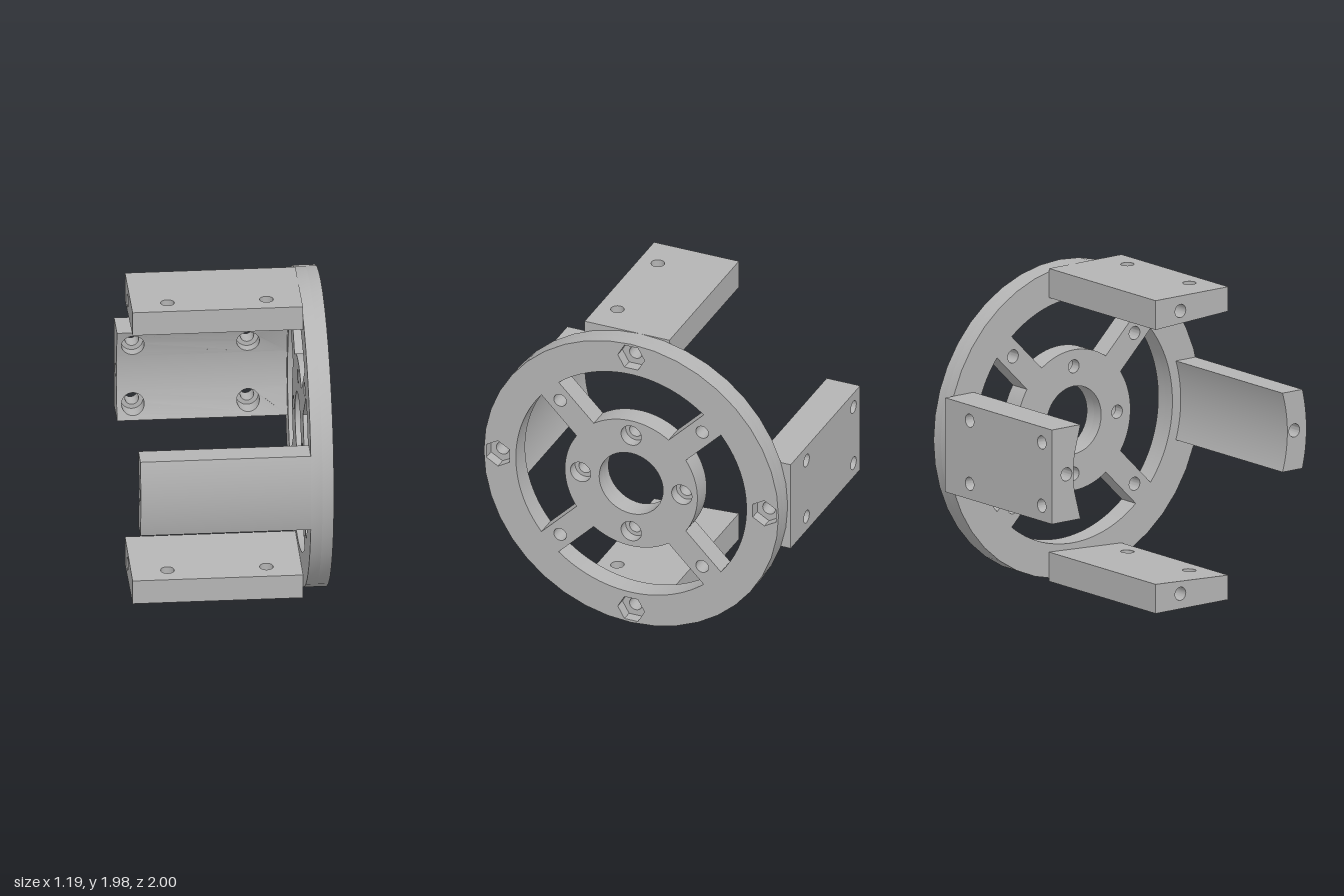
import * as THREE from 'three';
import { toCreasedNormals } from 'three/addons/utils/BufferGeometryUtils.js';

const X0 = -0.6, X1 = 0.45, X2 = 0.52, X3 = 0.59; // arm end, ring back, pocket floor, ring front
const R_OUT = 0.99, R_ARM = 0.84, R_BOLT = 0.895, R_HOLE = 0.042;

export function createModel() {
  const grey = new THREE.MeshStandardMaterial({ color: 0xb4b4b4 });
  grey.name = 'plain grey';
  const model = new THREE.Group();
  model.name = 'armedRingMount';
  const body = new THREE.Group();
  body.name = 'body';
  body.position.set(0, 0.995, 0.01); // ring axis
  model.add(body);

  const add = (name, geometry) => {
    const mesh = new THREE.Mesh(toCreasedNormals(geometry, 0.5), grey);
    mesh.name = name;
    body.add(mesh);
  };
  const extrude = (shape, depth) =>
    new THREE.ExtrudeGeometry(shape, { depth, bevelEnabled: false, curveSegments: 20 });
  const circle = (x, y, r) => new THREE.Path().absarc(x, y, r, 0, Math.PI * 2, false);
  const polygon = (pts) => new THREE.Shape(pts.map(([x, y]) => new THREE.Vector2(x, y)));

  // Cross-section in (-z, y), swept along x
  const alongX = (shape, from, to) =>
    extrude(shape, to - from).rotateY(Math.PI / 2).translate(from, 0, 0);
  // Moves every vertex by a rule
  const bend = (geometry, rule) => {
    const p = geometry.attributes.position;
    const v = new THREE.Vector3();
    for (let i = 0; i < p.count; i++) {
      rule(v.fromBufferAttribute(p, i));
      p.setXYZ(i, v.x, v.y, v.z);
    }
    return geometry;
  };

  // Spoked wheel in two layers: bolt holes behind, wider pockets in front
  const wheel = (pockets) => {
    const shape = new THREE.Shape().absarc(0, 0, R_OUT, 0, Math.PI * 2, false);
    shape.holes.push(circle(0, 0, 0.215));
    for (let k = 0; k < 4; k++) {
      const t = (k * Math.PI) / 2;
      const c = Math.cos(t), s = Math.sin(t);
      // window between spokes
      const a = Math.PI / 4 - Math.asin(0.082 / 0.775);
      const b = Math.PI / 4 - Math.asin(0.082 / 0.445);
      const win = new THREE.Path();
      win.absarc(0, 0, 0.775, t - a, t + a, false);
      win.absarc(0, 0, 0.445, t + b, t - b, true);
      win.closePath();
      shape.holes.push(win);
      // spoke hole and hub hole
      const d = t + Math.PI / 4;
      shape.holes.push(circle(0.675 * Math.cos(d), 0.675 * Math.sin(d), R_HOLE));
      shape.holes.push(circle(0.34 * c, 0.34 * s, pockets ? 0.068 : R_HOLE));
      // rim hole or hexagonal nut pocket
      if (pockets) {
        const hex = [];
        for (let i = 0; i < 6; i++) {
          const h = t + Math.PI / 2 + (i * Math.PI) / 3;
          hex.push(new THREE.Vector2(R_BOLT * c + 0.09 * Math.cos(h), R_BOLT * s + 0.09 * Math.sin(h)));
        }
        shape.holes.push(new THREE.Path(hex));
      } else {
        shape.holes.push(circle(R_BOLT * c, R_BOLT * s, R_HOLE));
      }
    }
    return shape;
  };
  add('wheelBack', alongX(wheel(false), X1, X2));
  add('wheelFront', alongX(wheel(true), X2, X3));

  // Front arm: curved inside and out
  const f0 = Math.asin(0.25 / R_OUT), f1 = Math.asin(0.25 / R_ARM);
  const front = new THREE.Shape();
  front.absarc(0, 0, R_OUT, Math.PI - f0, Math.PI + f0, false);
  front.absarc(0, 0, R_ARM, Math.PI + f1, Math.PI - f1, true);
  front.closePath();
  front.holes.push(circle(-R_BOLT, 0, R_HOLE));
  add('frontArm', alongX(front, X0, X1));

  // Top and bottom arms: flat outside, slightly sloped inside
  const zBack = -0.195, zSplit = 0.12, zFront = 0.375;
  const inner = (z) => 0.805 + (0.03 * (z - zBack)) / (zFront - zBack);
  for (const s of [1, -1]) {
    const name = s > 0 ? 'topArm' : 'bottomArm';
    const core = polygon([
      [-zBack, s * 0.99], [-zBack, s * inner(zBack)],
      [-zSplit, s * inner(zSplit)], [-zSplit, s * 0.99],
    ]);
    core.holes.push(circle(0, s * R_BOLT, R_HOLE));
    add(name + 'Core', alongX(core, X0, X1));

    const side = polygon([[X0, -zFront], [X1, -zFront], [X1, -zSplit], [X0, -zSplit]]);
    for (const x of [-0.375, 0.235]) side.holes.push(circle(x, -0.25, R_HOLE));
    const plate = extrude(side, 1).rotateX(-Math.PI / 2);
    add(name + 'DrilledSide', bend(plate, (v) => {
      const outside = (v.y > 0.5) === (s > 0);
      v.y = s * (outside ? 0.99 : inner(v.z));
    }));
  }

  // Back arm: flat outside, curved inside, counterbored holes above and below
  const zOut = -1.01, zFloor = -0.9, ySplit = 0.12, yEdge = 0.298;
  const m = Math.asin(ySplit / R_ARM);
  const middle = new THREE.Shape();
  middle.moveTo(-zOut, -ySplit);
  middle.lineTo(-zOut, ySplit);
  middle.absarc(0, 0, R_ARM, m, -m, true);
  middle.closePath();
  middle.holes.push(circle(R_BOLT, 0, R_HOLE));
  add('backArmCore', alongX(middle, X0, X1));
  for (const s of [1, -1]) {
    const strip = (r) => {
      const shape = polygon([[X0, s * ySplit], [X1, s * ySplit], [X1, s * yEdge], [X0, s * yEdge]]);
      for (const x of [-0.5, 0.21]) shape.holes.push(circle(x, s * 0.2, r));
      return shape;
    };
    const name = s > 0 ? 'backArmUpper' : 'backArmLower';
    add(name + 'Outside', extrude(strip(R_HOLE), zFloor - zOut).translate(0, 0, zOut));
    add(name + 'Inside', bend(extrude(strip(0.07), 1), (v) => {
      v.z = v.z > 0.5 ? -Math.sqrt(R_ARM * R_ARM - v.y * v.y) : zFloor;
    }));
  }
  return model;
}
